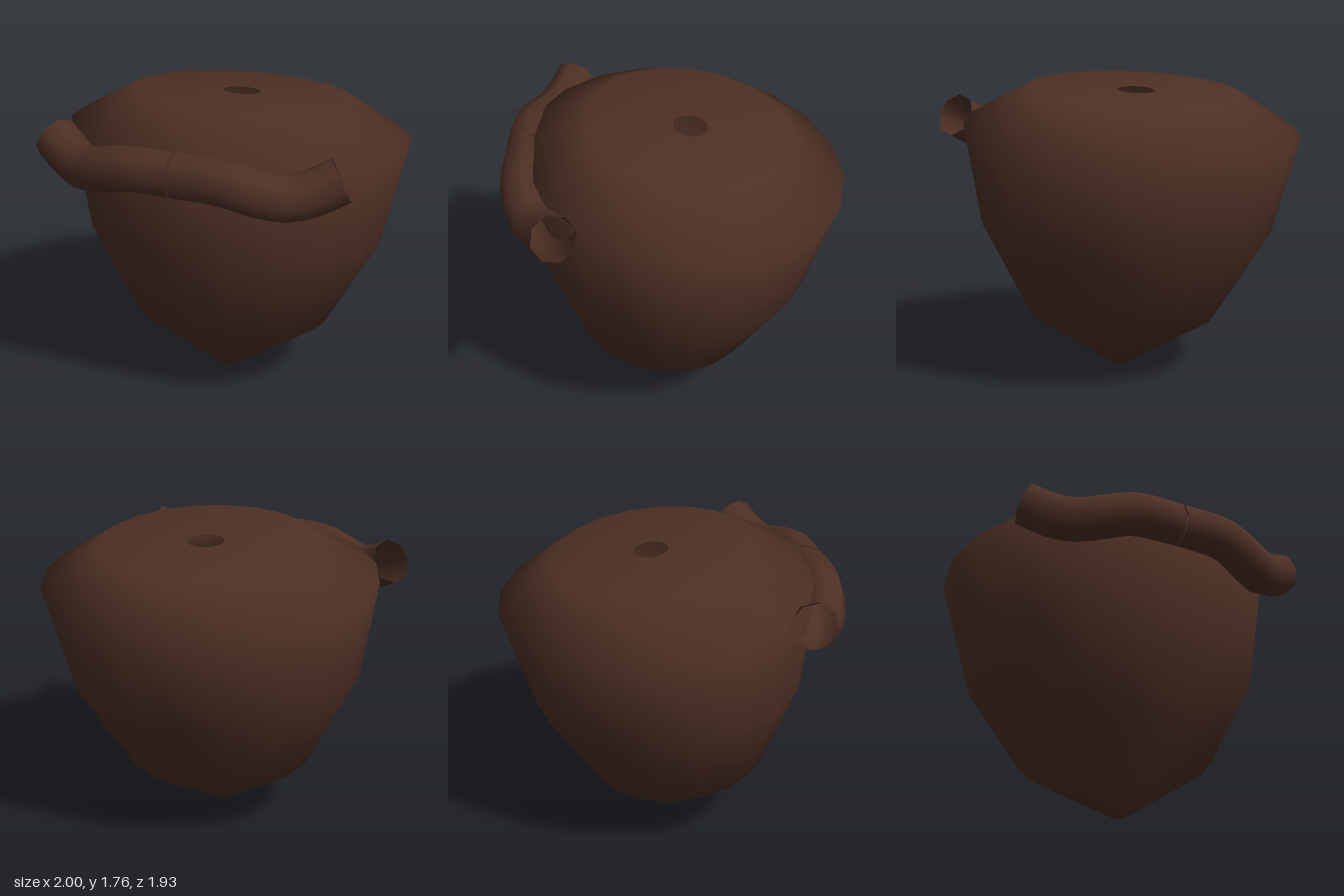
import * as THREE from 'three';

export function createModel() {
  const model = new THREE.Group();
  const brown = new THREE.MeshStandardMaterial({ color: 0x4e3025, side: THREE.DoubleSide });
  brown.name = 'darkBrown';

  // Tilted, slightly oval tapering shell with a small hole in the top
  const profile = [
    [0, 0], [0.047, 0], [0.534, 0.367], [0.8, 0.897],
    [0.912, 1.486], [0.584, 1.697], [0.1, 1.697],
  ].map(([r, h]) => new THREE.Vector2(r, h));
  const body = new THREE.Mesh(new THREE.LatheGeometry(profile, 20), brown);
  body.name = 'body';
  body.scale.x = 1.097;
  body.rotation.x = -0.121;
  body.position.set(0, 0.012, 0.125);
  model.add(body);

  // Open-ended curved tube across the front, in two mirrored halves
  const path = [
    [0.003, 1.51, 0.838], [0.28, 1.505, 0.836], [0.45, 1.46, 0.8],
    [0.58, 1.435, 0.745], [0.7, 1.46, 0.685], [0.838, 1.53, 0.62],
  ];
  for (const [side, name] of [[1, 'leftFrontTube'], [-1, 'rightFrontTube']]) {
    const curve = new THREE.CatmullRomCurve3(
      path.map(([x, y, z]) => new THREE.Vector3(side * x, y, z)));
    const tube = new THREE.Mesh(new THREE.TubeGeometry(curve, 12, 0.129, 8, false), brown);
    tube.name = name;
    model.add(tube);
  }
  return model;
}
